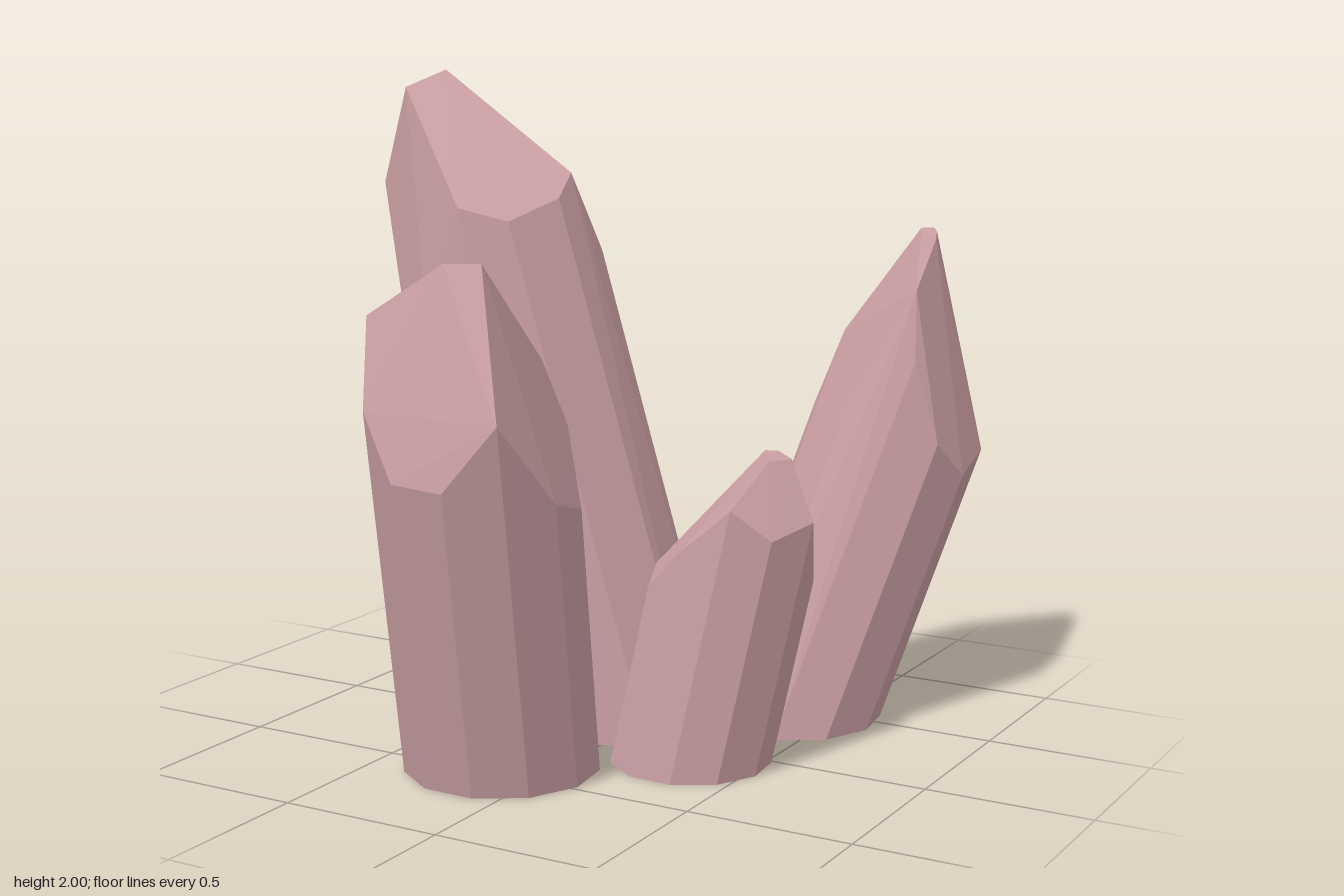
import * as THREE from 'three';
import { ConvexGeometry } from 'three/addons/geometries/ConvexGeometry.js';

const SIDES = 11;

// Each crystal is a leaning eleven-sided prism. "heights" gives where each
// prism edge is cut by the tip facets; "tip" lists the corners above them.
const CRYSTALS = [
  {
    name: 'tallCrystal', center: [-0.11, -0.18], radius: 0.335, lean: [-0.26, 0.075], phase: 176,
    heights: [1.65, 1.65, 1.56, 1.22, 1.2, 1.46, 1.63, 1.57, 1.4, 1.2, 1.24],
    tip: [[-0.67, 2, -0.08], [-0.73, 1.95, 0.05], [-0.41, 1.61, 0.25], [-0.22, 1.7, -0.08], [-0.76, 1.7, -0.29]],
  },
  {
    name: 'frontCrystal', center: [-0.15, 0.435], radius: 0.288, lean: [0.09, 0.27], phase: 173,
    heights: [1.37, 1.0, 0.92, 1.06, 1.05, 0.83, 0.88, 1.12, 0.93, 0.94, 1.12],
    tip: [[-0.08, 1.52, 0.81], [0.01, 1.52, 0.76], [0.035, 1.23, 0.5]],
  },
  {
    name: 'backCrystal', center: [0.35, -0.45], radius: 0.286, lean: [0.28, -0.235], phase: 73.5,
    heights: [1.15, 0.95, 0.72, 0.97, 0.88, 0.74, 0.9, 0.925, 0.84, 0.79, 0.9],
    tip: [[0.64, 1.52, -0.74], [0.67, 1.52, -0.77], [0.72, 1.52, -0.67], [0.735, 1.5, -0.63],
      [0.74, 1.36, -0.475], [0.4, 1.19, -0.715], [0.7, 1.07, -0.965]],
  },
  {
    name: 'smallCrystal', center: [0.295, 0.1], radius: 0.24, lean: [0.2, -0.06], phase: 76,
    heights: [0.81, 0.67, 0.54, 0.58, 0.58, 0.35, 0.55, 0.58, 0.56, 0.76, 0.72],
    tip: [[0.475, 0.93, -0.01], [0.51, 0.93, -0.025], [0.6, 0.93, 0.07], [0.56, 0.93, 0.14]],
  },
];

function crystalGeometry({ center, radius, lean, phase, heights, tip }) {
  const points = tip.map((p) => new THREE.Vector3(...p));
  for (let i = 0; i < SIDES; i++) {
    const a = THREE.MathUtils.degToRad(phase + (i * 360) / SIDES);
    const x = center[0] + radius * Math.cos(a);
    const z = center[1] + radius * Math.sin(a);
    // base corner, then the same edge followed up to its cut
    for (const y of [0, heights[i]]) {
      points.push(new THREE.Vector3(x + lean[0] * y, y, z + lean[1] * y));
    }
  }
  return new ConvexGeometry(points);
}

export function createModel() {
  const group = new THREE.Group();
  group.name = 'crystalCluster';
  const material = new THREE.MeshStandardMaterial({ color: 0xcba0a4, flatShading: true });
  for (const spec of CRYSTALS) {
    const mesh = new THREE.Mesh(crystalGeometry(spec), material);
    mesh.name = spec.name;
    group.add(mesh);
  }
  return group;
}
